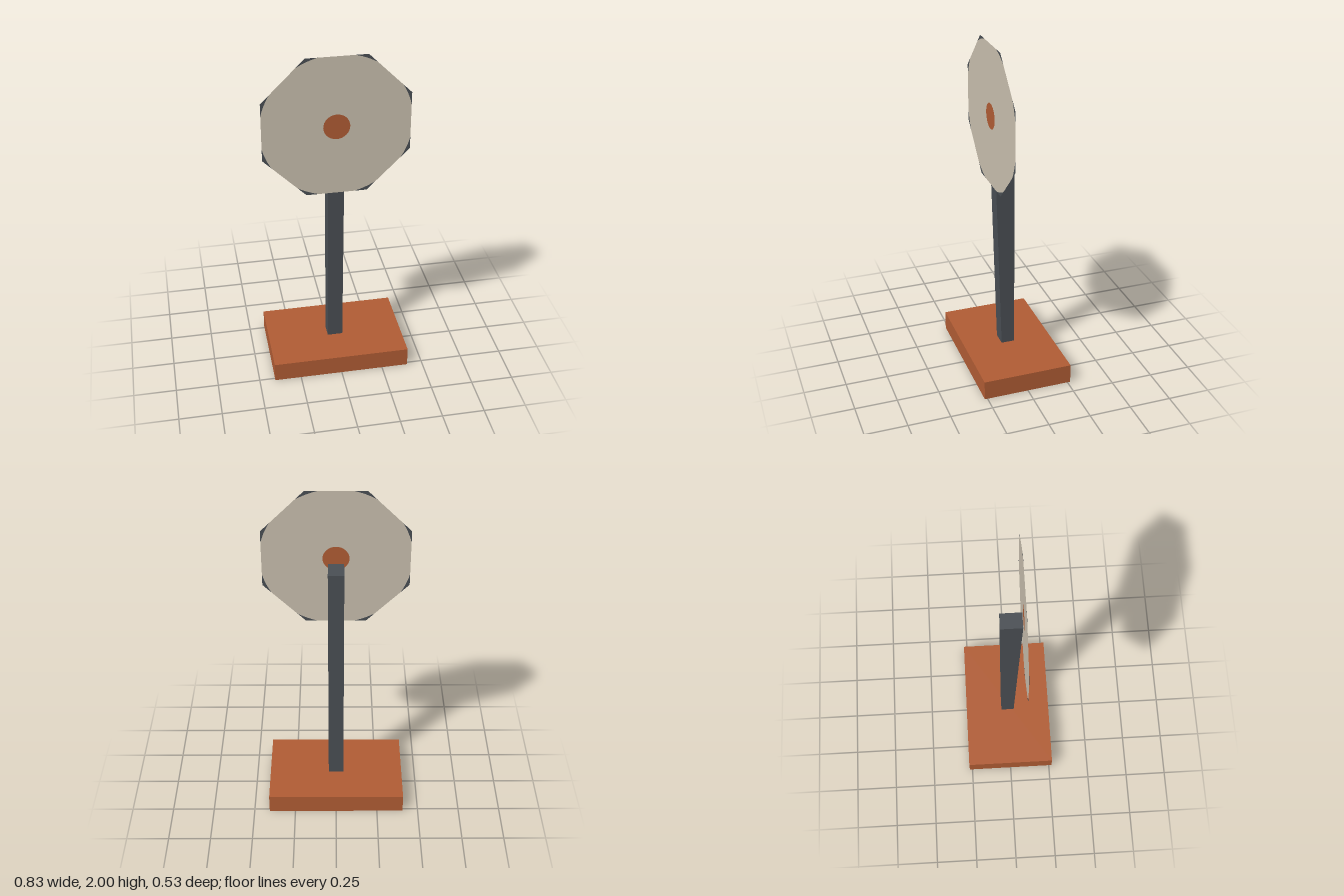
import * as THREE from 'three';

const rust = new THREE.MeshStandardMaterial({ name: 'rust orange', color: 0xb05c34 });
const slate = new THREE.MeshStandardMaterial({ name: 'slate grey', color: 0x4a4f54 });
const slateSheet = new THREE.MeshStandardMaterial({ name: 'slate grey sheet', color: 0x4a4f54, side: THREE.DoubleSide });
const rustSheet = new THREE.MeshStandardMaterial({ name: 'rust orange sheet', color: 0xb05c34, side: THREE.DoubleSide });
const stone = new THREE.MeshStandardMaterial({ name: 'pale stone', color: 0xc8bfae, side: THREE.DoubleSide });

function add(parent, name, geometry, material, x = 0, y = 0, z = 0) {
  const mesh = new THREE.Mesh(geometry, material);
  mesh.name = name;
  mesh.position.set(x, y, z);
  parent.add(mesh);
  return mesh;
}

export function createModel() {
  const model = new THREE.Group();
  model.name = 'roundSignOnStand';

  // Base slab
  const baseH = 0.117;
  add(model, 'base', new THREE.BoxGeometry(0.815, baseH, 0.534), rust, 0, baseH / 2, 0);

  // Post: vertical back, front face leaning forward towards the top
  const side = new THREE.Shape([[-0.04, baseH], [0.04, baseH], [0.083, 1.552], [-0.04, 1.552]]
    .map(([z, y]) => new THREE.Vector2(z, y)));
  const post = new THREE.ExtrudeGeometry(side, { depth: 0.091, bevelEnabled: false });
  post.translate(0, 0, -0.0455).rotateY(-Math.PI / 2);
  add(model, 'post', post, slate);

  // Octagonal sheet: pale face, dark corner tips, round hub mark
  const sign = new THREE.Group();
  sign.name = 'signPanel';
  sign.position.set(0, 1.585, 0.088);
  model.add(sign);

  const apothem = 0.415, faceR = 0.427, hubR = 0.075;
  const polar = (r, a) => new THREE.Vector2(r * Math.cos(a), r * Math.sin(a));
  const half = Math.PI / 8 - Math.acos(apothem / faceR); // half angle of each tip
  const outline = [], tips = [];
  for (let k = 0; k < 8; k++) {
    const mid = Math.PI / 8 + k * Math.PI / 4;
    const arc = [];
    for (let i = 0; i <= 6; i++) arc.push(polar(faceR, mid + half * (i / 3 - 1)));
    outline.push(...arc);
    tips.push(new THREE.Shape([polar(apothem / Math.cos(Math.PI / 8), mid), ...arc.slice().reverse()]));
  }
  const face = new THREE.Shape(outline);
  const hole = [];
  for (let i = 0; i < 32; i++) hole.push(polar(hubR, -i * Math.PI / 16));
  face.holes.push(new THREE.Path(hole));

  add(sign, 'panelFace', new THREE.ShapeGeometry(face), stone);
  add(sign, 'cornerTips', new THREE.ShapeGeometry(tips), slateSheet);
  add(sign, 'hubMark', new THREE.CircleGeometry(hubR, 32), rustSheet);

  return model;
}
